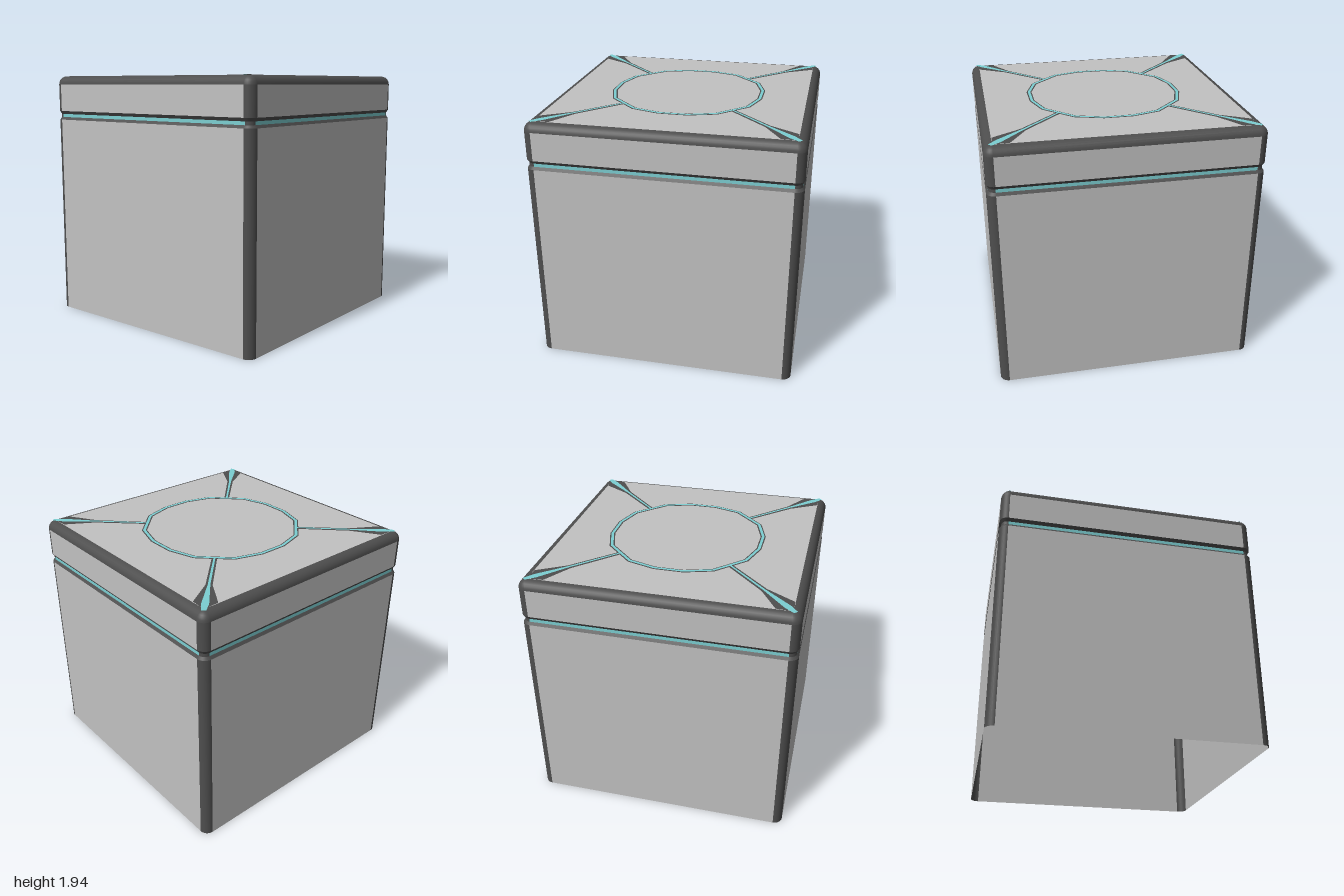
import * as THREE from 'three';

const mat = (name, color, side = THREE.DoubleSide) => {
  const m = new THREE.MeshStandardMaterial({ color, side });
  m.name = name;
  return m;
};

const C = 0.935;    // half width of the flat panels
const R = 0.065;    // radius of the rounded edges
const TOP = 1.935;  // height of the lid

export function createModel() {
  const panel = mat('panel grey', 0xc2c2c2);
  const frame = mat('frame dark grey', 0x4e4e4e);
  const glow = mat('inlay cyan', 0x7ccfd2);
  const model = new THREE.Group();

  const add = (parent, name, geometry, material) => {
    const mesh = new THREE.Mesh(geometry, material);
    mesh.name = name;
    parent.add(mesh);
    return mesh;
  };

  // Flat-sided strip on the +z face, following a bottom-to-top profile of [offset, y]
  const strip = (profile) => {
    const n = profile.length;
    const g = new THREE.PlaneGeometry(2 * C, 1, 1, n - 1);
    const p = g.attributes.position;
    for (let i = 0; i < p.count; i++) {
      const [r, y] = profile[n - 1 - Math.floor(i / 2)];
      p.setY(i, y);
      p.setZ(i, C + r);
    }
    g.computeVertexNormals();
    return g;
  };

  // Rounded top edge
  const arc = [];
  for (let i = 0; i <= 6; i++) {
    const a = (i / 6) * Math.PI / 2;
    arc.push([R * Math.cos(a), TOP - R + R * Math.sin(a)]);
  }

  // Wall sections from the ground up; the groove is slightly recessed
  const G = R - 0.015;
  const sections = [
    ['lowerWall', panel, [[R, 0], [R, 1.585]]],
    ['grooveLowerSlope', frame, [[R, 1.585], [G, 1.606]]],
    ['grooveInlay', glow, [[G, 1.606], [G, 1.631]]],
    ['grooveUpperSlope', frame, [[G, 1.631], [R, 1.655]]],
    ['lidWall', panel, [[R, 1.655], [R, TOP - R]]],
    ['topEdge', frame, arc],
  ];

  for (let k = 0; k < 4; k++) {
    const side = new THREE.Group();
    side.name = 'side' + (k + 1);
    side.rotation.y = k * Math.PI / 2;
    model.add(side);
    for (const [name, material, profile] of sections) {
      add(side, name, strip(profile), material);
      // Matching rounded corner column, always dark
      const points = profile.map(([r, y]) => new THREE.Vector2(r, y));
      const corner = new THREE.LatheGeometry(points, 8, 0, Math.PI / 2);
      add(side, name + 'Corner', corner, frame).position.set(C, 0, C);
    }
  }

  // Lid top
  const flat = (shape, y) => new THREE.ShapeGeometry(shape).rotateX(-Math.PI / 2).translate(0, y, 0);
  add(model, 'lidTop', new THREE.PlaneGeometry(2 * C, 2 * C).rotateX(-Math.PI / 2).translate(0, TOP, 0), panel);

  // Sixteen-sided ring, from one quarter of its outline
  const quarter = [[0.595, 0.11], [0.53, 0.32], [0.32, 0.53], [0.11, 0.595]];
  const outline = (s) => {
    const pts = [];
    for (let k = 0; k < 4; k++) {
      for (const [x, y] of quarter) {
        pts.push(new THREE.Vector2(x * s, y * s).rotateAround(new THREE.Vector2(), k * Math.PI / 2));
      }
    }
    return pts;
  };
  const ring = (outer, inner) => {
    const s = new THREE.Shape(outline(outer));
    s.holes.push(new THREE.Path(outline(inner).reverse()));
    return s;
  };
  add(model, 'lidRing', flat(ring(1.005, 0.94), TOP + 0.002), frame);
  add(model, 'lidRingInlay', flat(ring(0.99, 0.956), TOP + 0.004), glow);

  // Diagonal spokes that widen towards the corners: [distance, half width]
  const spoke = (pts) => new THREE.Shape([
    ...pts.map(([s, w]) => new THREE.Vector2(s, -w)),
    ...pts.map(([s, w]) => new THREE.Vector2(s, w)).reverse(),
  ]);
  const spokeFrame = spoke([[0.6, 0.02], [1.0, 0.024], [1.235, 0.082], [1.322, 0.004]]);
  const spokeInlay = spoke([[0.59, 0.007], [1.0, 0.009], [1.26, 0.026], [1.345, 0.016]]);
  for (let k = 0; k < 4; k++) {
    const a = Math.PI / 4 + k * Math.PI / 2;
    add(model, 'lidSpoke', flat(spokeFrame, TOP + 0.002), frame).rotation.y = a;
    add(model, 'lidSpokeInlay', flat(spokeInlay, TOP + 0.004), glow).rotation.y = a;
  }

  // Small plate hanging inside the open-bottomed shell
  const plate = (w, y) => new THREE.PlaneGeometry(w, 0.96).rotateX(Math.PI / 2).translate(0, y, 0);
  add(model, 'innerPlate', plate(0.34, 0.76), frame);
  add(model, 'innerPlateInlay', plate(0.012, 0.757), glow);

  return model;
}
